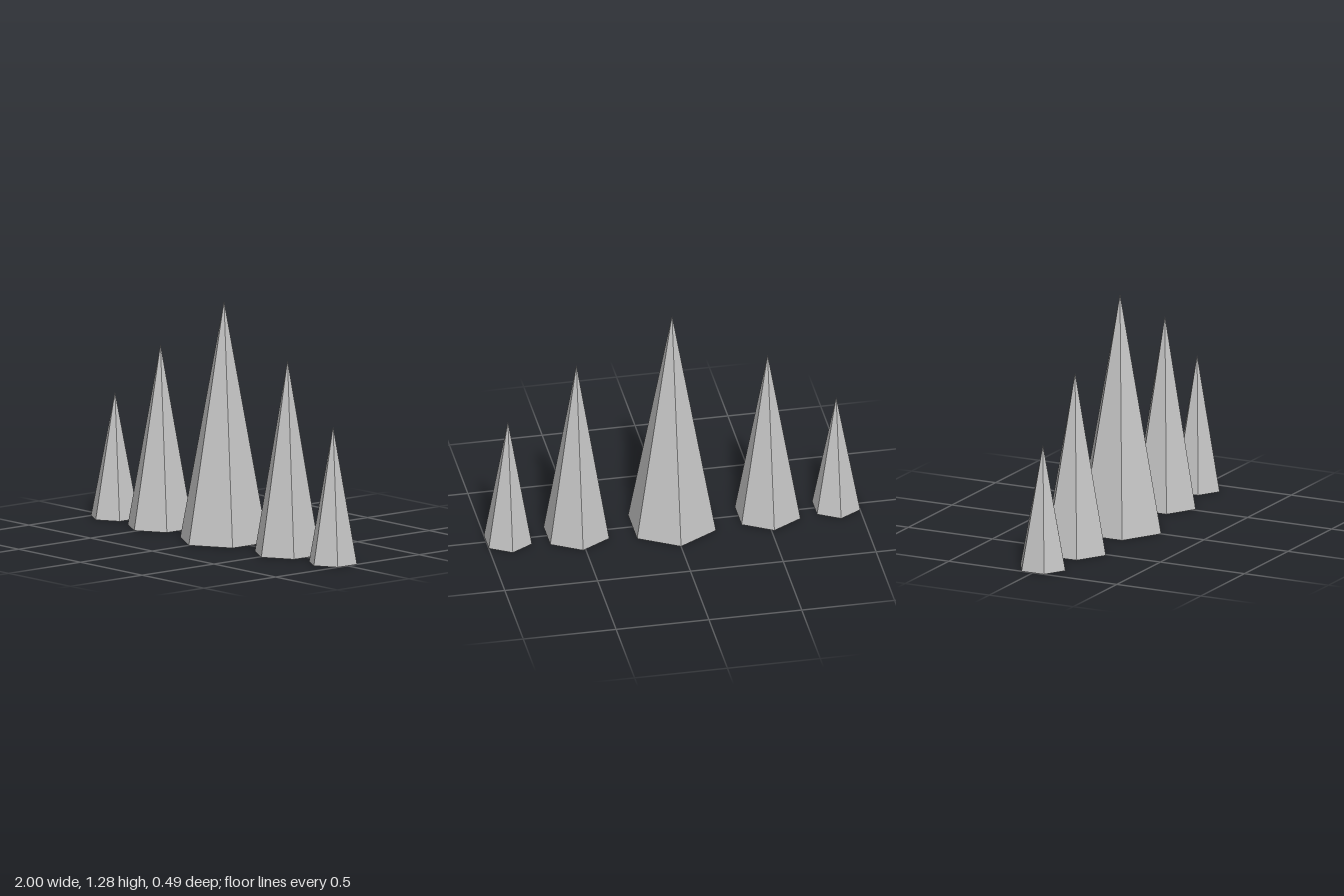
import * as THREE from 'three';

export function createModel() {
  const group = new THREE.Group();
  const stone = new THREE.MeshStandardMaterial({ color: 0xc4c4c4, flatShading: true });
  stone.name = 'light grey stone';

  // Six-sided spike standing on the ground, with one corner facing the front
  const addSpike = (name, x, radius, height) => {
    const spike = new THREE.Mesh(new THREE.ConeGeometry(radius, height, 6), stone);
    spike.name = name;
    spike.position.set(x, height / 2, 0);
    group.add(spike);
  };

  // A row of spikes, tallest in the middle
  addSpike('rightOuterSpike', -0.884, 0.134, 0.674);
  addSpike('rightInnerSpike', -0.515, 0.183, 0.98);
  addSpike('centreSpike', 0, 0.245, 1.285);
  addSpike('leftInnerSpike', 0.515, 0.183, 1.04);
  addSpike('leftOuterSpike', 0.884, 0.134, 0.735);

  return group;
}
